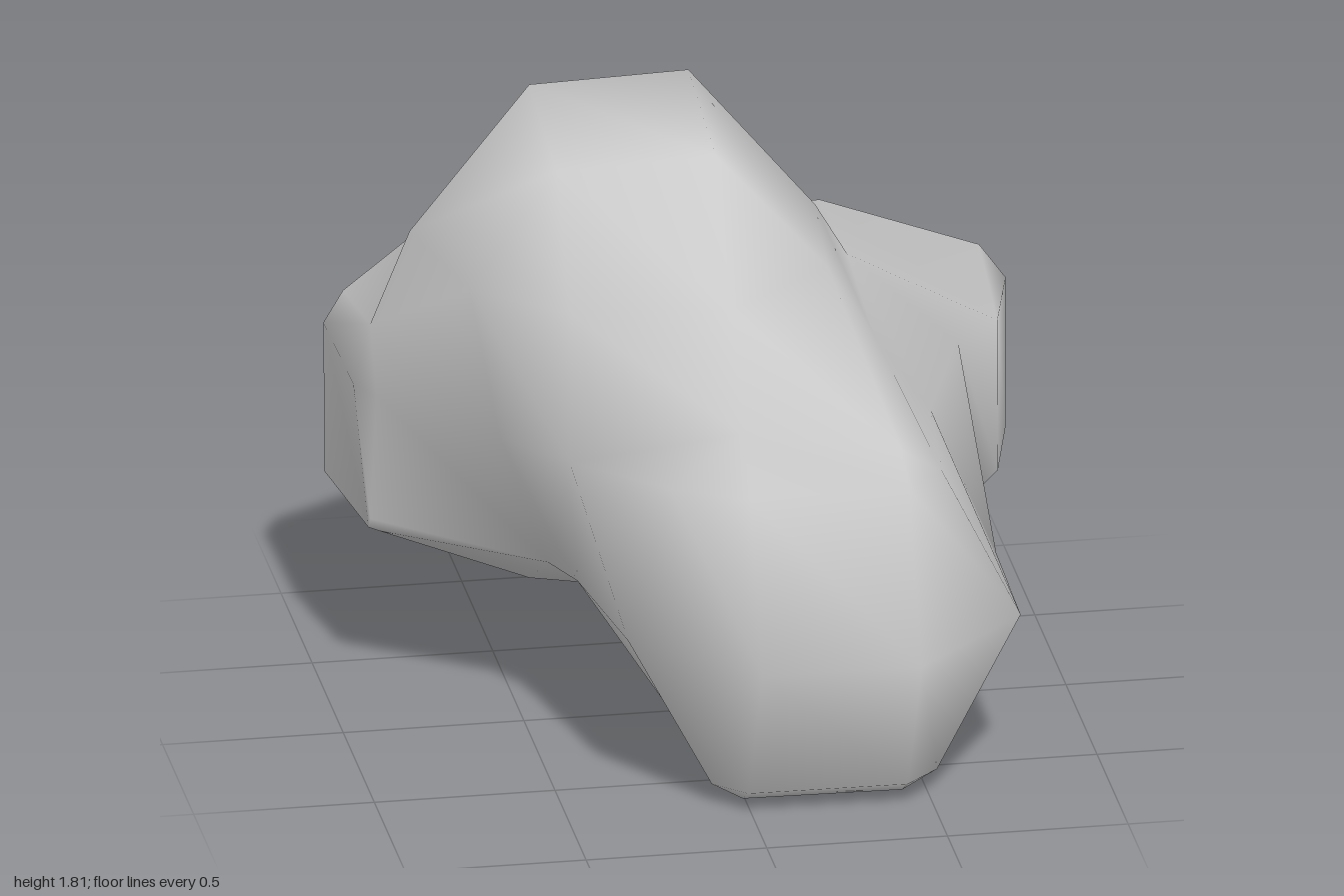
import * as THREE from 'three';

// Merging balls: centre and radius
const balls = [
  { c: [0.215, 0.515, 0.45], r: 0.59 },    // front foot
  { c: [-0.215, 1.3, -0.06], r: 0.57 },    // top
  { c: [0.53, 0.73, -0.585], r: 0.472 },   // back left
  { c: [-0.555, 0.73, -0.48], r: 0.472 },  // back right
  { c: [0, 0.62, -0.15], r: 0.27 },        // core filling the belly
];
const STEP = 0.44;
const ORIGIN = [-1.33, -0.37, -1.52];
const COUNT = [6, 6, 7];

// Soft falloff that equals 1 on the surface of a lone ball
function field(p) {
  let sum = -1;
  for (const { c, r } of balls) {
    const R2 = (r * 1.92) ** 2;
    const d2 = (p[0] - c[0]) ** 2 + (p[1] - c[1]) ** 2 + (p[2] - c[2]) ** 2;
    if (d2 < R2) sum += ((1 - d2 / R2) / (1 - r * r / R2)) ** 3;
  }
  return sum;
}

// The six cell faces, corners counter-clockwise from outside (bits: x=1, y=2, z=4)
const faces = [];
for (let a = 0; a < 3; a++) {
  const n = 1 << a, u = 1 << ((a + 1) % 3), v = 1 << ((a + 2) % 3);
  faces.push([n, n + u, n + u + v, n + v], [0, v, u + v, u]);
}

// Polygonise the field on the coarse grid
function blobGeometry() {
  const positions = [], index = [], cache = new Map();

  // Surface point on the edge from an inside to an outside grid node
  function crossing(inside, outside) {
    const key = inside.id + '|' + outside.id;
    if (!cache.has(key)) {
      let lo = 0, hi = 1;
      const at = (t) => inside.p.map((s, a) => s + (outside.p[a] - s) * t);
      for (let n = 0; n < 20; n++) {
        const mid = (lo + hi) / 2;
        if (field(at(mid)) > 0) lo = mid; else hi = mid;
      }
      cache.set(key, positions.length / 3);
      positions.push(...at(lo));
    }
    return cache.get(key);
  }

  function addCell(i, j, k) {
    const corners = [];
    for (let b = 0; b < 8; b++) {
      const g = [i + (b & 1), j + ((b >> 1) & 1), k + (b >> 2)];
      const p = g.map((n, a) => ORIGIN[a] + n * STEP);
      corners.push({ id: g.join(), p, solid: field(p) > 0 });
    }
    // On each face, join where the outline enters the solid to where it leaves
    const next = new Map();
    for (const face of faces) {
      const q = face.map((b) => corners[b]);
      for (let e = 0; e < 4; e++) {
        if (q[e].solid || !q[(e + 1) % 4].solid) continue;
        let x = e + 1;
        while (q[(x + 1) % 4].solid) x++;
        next.set(crossing(q[(e + 1) % 4], q[e]), crossing(q[x % 4], q[(x + 1) % 4]));
      }
    }
    // Chain the joins into loops and fill them
    while (next.size) {
      const loop = [];
      let v = next.keys().next().value;
      while (next.has(v)) {
        loop.push(v);
        const w = next.get(v);
        next.delete(v);
        v = w;
      }
      for (let n = 1; n < loop.length - 1; n++) index.push(loop[0], loop[n], loop[n + 1]);
    }
  }

  for (let i = 0; i < COUNT[0]; i++)
    for (let j = 0; j < COUNT[1]; j++)
      for (let k = 0; k < COUNT[2]; k++) addCell(i, j, k);

  const geometry = new THREE.BufferGeometry();
  geometry.setAttribute('position', new THREE.Float32BufferAttribute(positions, 3));
  geometry.setIndex(index);
  geometry.computeVertexNormals();
  return geometry;
}

export function createModel() {
  const group = new THREE.Group();
  group.name = 'blob';
  const body = new THREE.Mesh(blobGeometry(), new THREE.MeshStandardMaterial({ color: 0xcccccc }));
  body.name = 'blobBody';
  group.add(body);

  // Stand it on the ground, centred
  const box = new THREE.Box3().setFromObject(body);
  const centre = box.getCenter(new THREE.Vector3());
  body.position.set(-centre.x, -box.min.y, -centre.z);
  return group;
}
